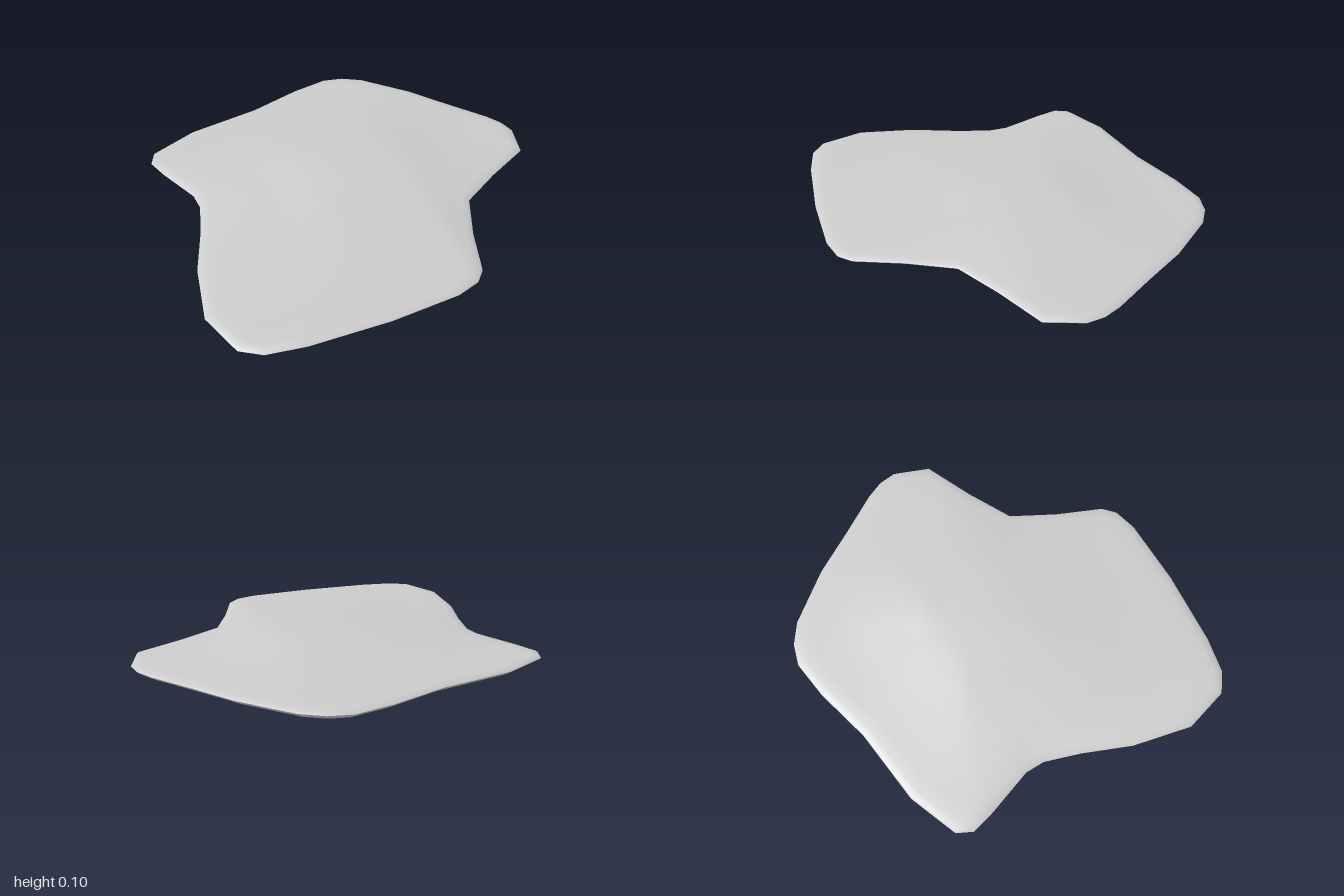
import * as THREE from 'three';
import { toCreasedNormals } from 'three/addons/utils/BufferGeometryUtils.js';

// Outline seen from above as [x, z], counter-clockwise
const outline = [
  [1, 0], [0.99, -0.09], [0.95, -0.18], [0.82, -0.39], [0.69, -0.61], [0.5, -0.85],
  [0.4, -0.92], [0.29, -0.95], [0.09, -0.92], [-0.2, -0.84], [-0.59, -0.79],
  [-0.84, -0.69], [-0.88, -0.61], [-0.85, -0.49], [-0.77, -0.25], [-0.77, -0.15],
  [-0.83, 0.03], [-0.93, 0.27], [-1, 0.57], [-0.94, 0.8], [-0.85, 0.87], [-0.67, 0.91],
  [-0.29, 0.945], [0.05, 0.945], [0.17, 0.915], [0.23, 0.86], [0.33, 0.63],
  [0.45, 0.41], [0.68, 0.29], [0.93, 0.18],
].map(([x, z]) => new THREE.Vector2(x, z));
const centre = new THREE.Vector2(0.05, -0.08);

// Height of the top: a low plateau, falling faster to the right and the back
const slope = [[0, 0.099], [0.27, 0.074], [0.6, 0.05], [0.85, 0.044], [3, 0.044]];
function topHeight(x, z) {
  const dx = Math.max(-0.15 - x, 0, 1.5 * (x - 0.27));
  const dz = Math.max(z - 0.12, 0, 1.5 * (-0.25 - z));
  const d = Math.hypot(dx, dz);
  const i = slope.findIndex(([end]) => end > d);
  const [d0, h0] = slope[i - 1], [d1, h1] = slope[i];
  return THREE.MathUtils.mapLinear(d, d0, d1, h0, h1);
}

// Move the outline inwards by a fixed distance, then shrink it towards the centre;
// without a given height it lies on the top, which eases up from the rim
function ring(inset, scale, height) {
  const n = outline.length;
  return outline.map((p, i) => {
    const along = outline[(i + 1) % n].clone().sub(outline[(i + n - 1) % n]).normalize();
    const q = new THREE.Vector2(p.x + along.y * inset, p.y - along.x * inset);
    q.sub(centre).multiplyScalar(scale).add(centre);
    const eased = Math.min(topHeight(q.x, q.y), 0.043 + 0.12 * (1 - scale));
    return [q.x, height ?? eased, q.y];
  });
}

function slabGeometry() {
  // Open bottom edge and bevelled rim, then the rise to the plateau
  const rings = [
    ring(0.045, 1, 0), ring(0.01, 1, 0.02), ring(0, 1, 0.03), ring(0.012, 1, 0.038),
    ring(0.045, 1, 0.043),
    ...[0.92, 0.82, 0.72, 0.62, 0.52, 0.42, 0.32, 0.22, 0.1].map((s) => ring(0.045, s)),
  ];
  const n = outline.length;
  const positions = rings.flat(2);
  const index = [];
  for (let r = 0; r < rings.length - 1; r++) {
    for (let i = 0; i < n; i++) {
      const a = r * n + i, b = r * n + (i + 1) % n;
      index.push(a, b, b + n, a, b + n, a + n);
    }
  }
  // Cap on the plateau; the hollow underside stays open
  const top = rings.length * n, last = top - n;
  positions.push(centre.x, 0.1, centre.y);
  for (let i = 0; i < n; i++) index.push(top, last + i, last + (i + 1) % n);
  const geometry = new THREE.BufferGeometry();
  geometry.setAttribute('position', new THREE.Float32BufferAttribute(positions, 3));
  geometry.setIndex(index);
  return toCreasedNormals(geometry, 0.6);
}

export function createModel() {
  const group = new THREE.Group();
  const material = new THREE.MeshStandardMaterial({ color: 0xcccccc, side: THREE.DoubleSide });
  const slab = new THREE.Mesh(slabGeometry(), material);
  slab.name = 'stoneSlab';
  group.add(slab);
  return group;
}
